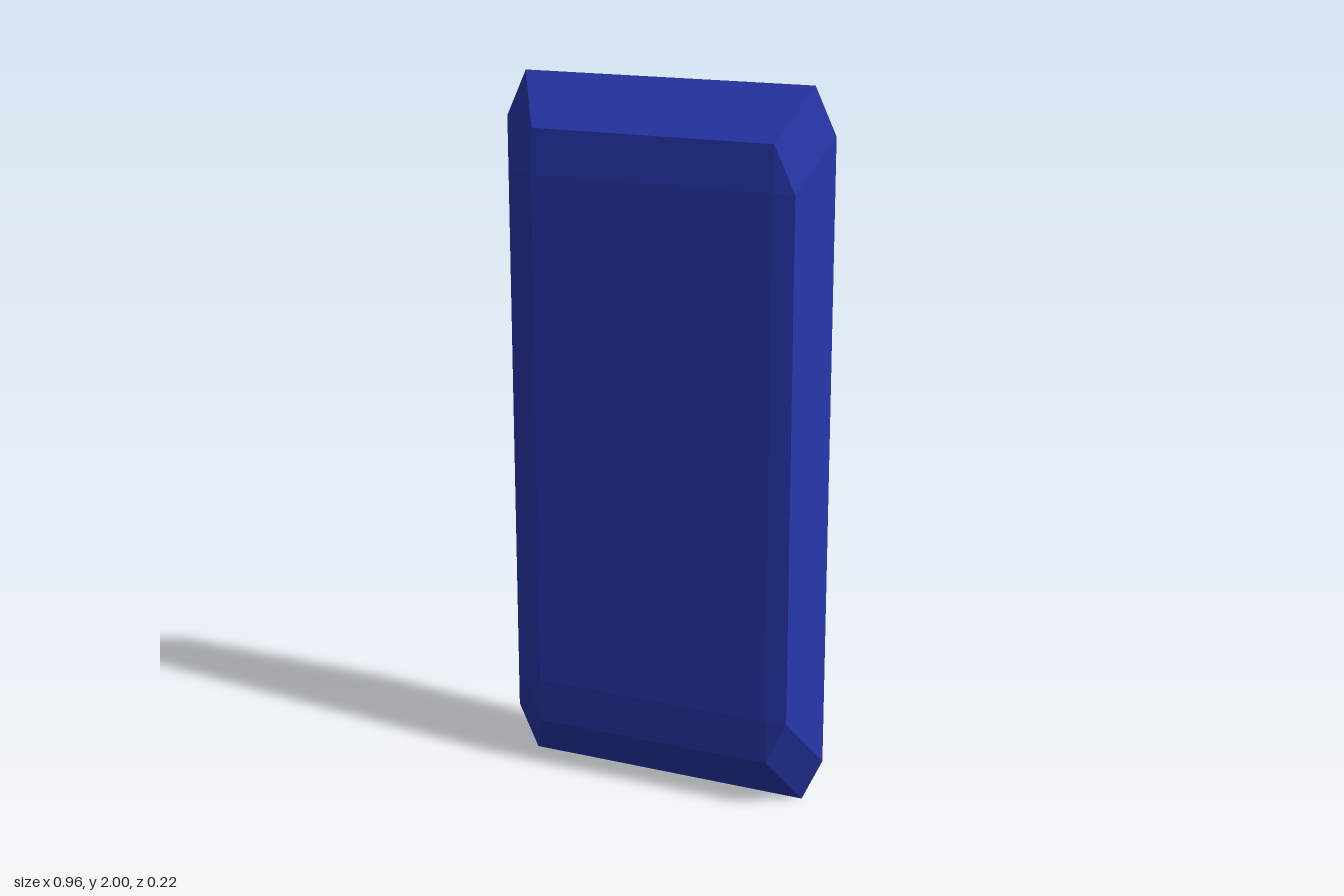
import * as THREE from 'three';
import { ConvexGeometry } from 'three/addons/geometries/ConvexGeometry.js';

export function createModel() {
  const group = new THREE.Group();
  group.name = 'gem';
  const points = [];

  // Adds a point mirrored to all four corners, front and back
  const addMirrored = (x, y, z) => {
    for (const sx of [-1, 1])
      for (const sy of [-1, 1])
        for (const sz of z ? [-1, 1] : [1])
          points.push(new THREE.Vector3(sx * x, 1 + sy * y, sz * z));
  };

  // Girdle: sharp octagonal outline
  addMirrored(0.42, 1, 0);
  addMirrored(0.48, 0.873, 0);
  // Crown: upper rim of the steep facets
  addMirrored(0.35, 0.86, 0.104);
  addMirrored(0.41, 0.733, 0.104);
  // Table: large flat face inside a shallow bevel
  addMirrored(0.35, 0.733, 0.111);

  // The stone is convex, so its hull gives every flat facet
  const stone = new THREE.Mesh(
    new ConvexGeometry(points),
    new THREE.MeshStandardMaterial({ color: 0x2a3ab4, flatShading: true })
  );
  stone.name = 'cutStone';
  group.add(stone);
  return group;
}
